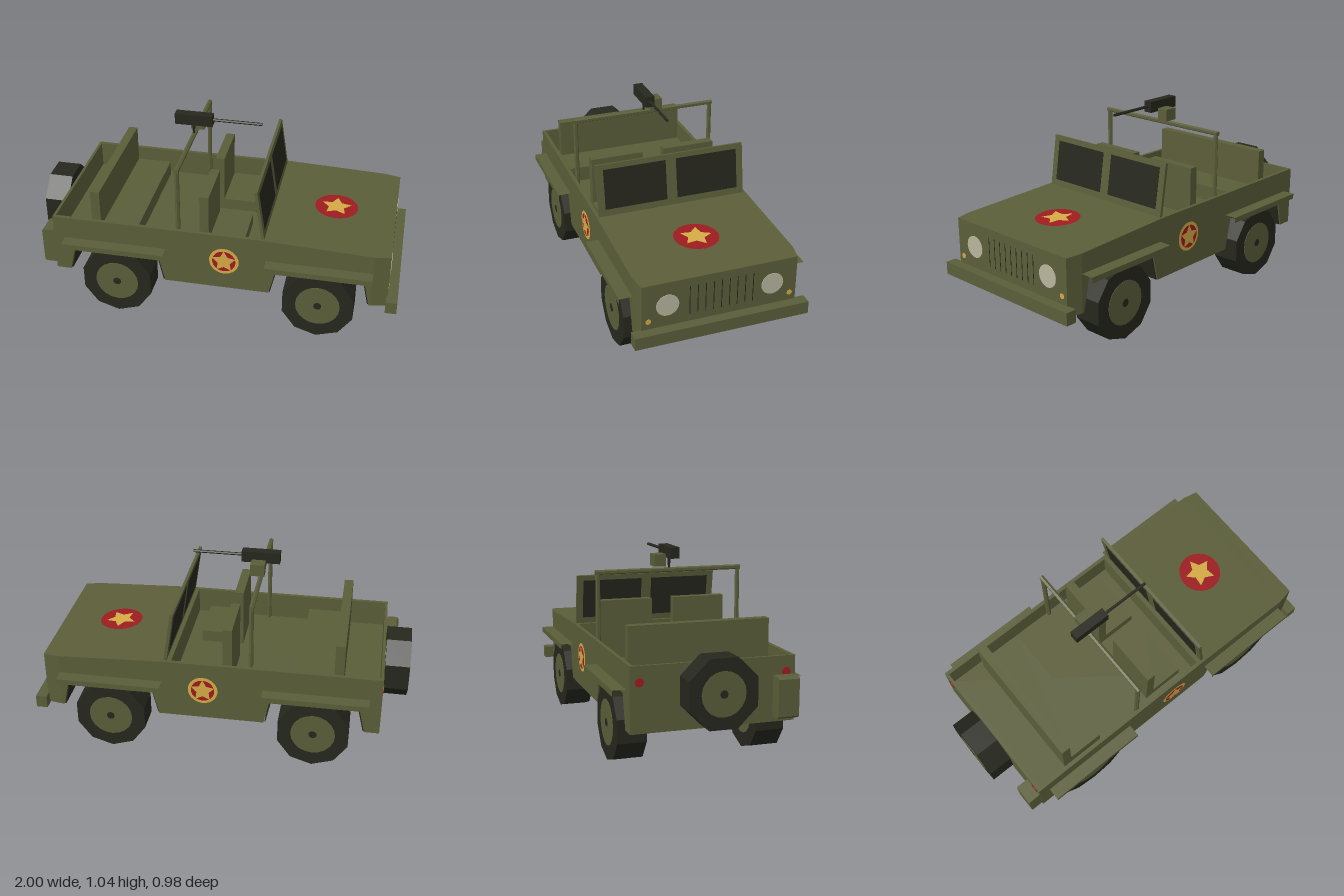
import * as THREE from 'three';

const mat = (name, color) => {
  const m = new THREE.MeshStandardMaterial({ color });
  m.name = name;
  return m;
};

export function createModel() {
  const olive = mat('olive paint', 0x5b5e39);
  const dark = mat('dark rubber and metal', 0x26271d);
  const red = mat('red', 0x9e1c1f);
  const gold = mat('gold', 0xd6ab46);
  const lamp = mat('lamp glass', 0xb9b59d);
  const model = new THREE.Group();
  model.name = 'utilityVehicle';

  const add = (name, geo, material, parent = model) => {
    const g = geo.index ? geo.toNonIndexed() : geo;
    g.computeVertexNormals();
    const mesh = new THREE.Mesh(g, material);
    mesh.name = name;
    parent.add(mesh);
    return mesh;
  };
  // Box given by its limits on each axis
  const box = (name, [x0, x1], [y0, y1], [z0, z1], material, parent) => {
    const mesh = add(name, new THREE.BoxGeometry(x1 - x0, y1 - y0, z1 - z0), material, parent);
    mesh.position.set((x0 + x1) / 2, (y0 + y1) / 2, (z0 + z1) / 2);
    return mesh;
  };
  // Side profile extruded across the width
  const across = (name, pts, width, material) => {
    const shape = new THREE.Shape(pts.map(p => new THREE.Vector2(...p)));
    const geo = new THREE.ExtrudeGeometry(shape, { depth: width, bevelEnabled: false });
    return add(name, geo.translate(0, 0, -width / 2), material);
  };
  // Thin round plate facing +x or -x
  const plate = (name, r, x, y, z, material) => {
    const mesh = add(name, new THREE.CylinderGeometry(r, r, 0.006, 20), material);
    mesh.rotation.z = Math.PI / 2;
    mesh.position.set(x, y, z);
    return mesh;
  };

  // Lower body with wheel arches, floor and bonnet
  across('body', [
    [-0.86, 0.23], [-0.78, 0.23], [-0.74, 0.405], [-0.286, 0.405], [-0.246, 0.23],
    [0.322, 0.23], [0.362, 0.405], [0.814, 0.405], [0.852, 0.23], [0.862, 0.23],
    [0.862, 0.538], [0.29, 0.56], [0.25, 0.56], [0.25, 0.415], [-0.86, 0.415],
  ], 0.844, olive);

  // Tapered nose
  const nose = new THREE.BoxGeometry(0.085, 0.308, 0.844);
  const np = nose.attributes.position;
  for (let i = 0; i < np.count; i++) {
    if (np.getX(i) > 0) {
      np.setZ(i, np.getZ(i) * 0.962);
      if (np.getY(i) > 0) np.setY(i, np.getY(i) - 0.003);
    }
  }
  add('nose', nose, olive).position.set(0.9045, 0.384, 0);

  // Open tub walls
  for (const s of [1, -1]) {
    box('tubSide', [-0.86, 0.25], [0.415, 0.56], [s * 0.412 - 0.01, s * 0.412 + 0.01], olive);
  }
  box('tubBack', [-0.86, -0.845], [0.415, 0.56], [-0.402, 0.402], olive);

  // Wheels have a rim and hub cap on both faces
  const wheel = (name, r, width, sides, turn) => {
    const g = new THREE.Group();
    g.name = name;
    add('tyre', new THREE.CylinderGeometry(r, r, width, sides, 1, false, turn), dark, g);
    for (const s of [1, -1]) {
      add('rim', new THREE.CylinderGeometry(r * 0.6, r * 0.6, 0.004, 20), olive, g).position.y = s * width / 2;
      add('hubCap', new THREE.CylinderGeometry(r * 0.11, r * 0.11, 0.004, 10), dark, g).position.y = s * (width / 2 + 0.002);
    }
    model.add(g);
    return g;
  };
  // Wheel wells, fenders and wheels
  for (const x of [-0.513, 0.588]) {
    across('wheelWell', [
      [x - 0.265, 0.231], [x - 0.225, 0.404], [x + 0.225, 0.404], [x + 0.262, 0.231],
      [x + 0.257, 0.231], [x + 0.221, 0.399], [x - 0.221, 0.399], [x - 0.26, 0.231],
    ], 0.83, dark);
    for (const s of [1, -1]) {
      const w = wheel('wheel', 0.198, 0.152, 10, 0);
      w.rotation.x = s * Math.PI / 2;
      w.position.set(x, 0.198, s * 0.366);
      // Fender lip is open at both ends
      const lip = new THREE.BoxGeometry(0.56, 0.03, 0.07);
      lip.setIndex(Array.from(lip.index.array).slice(12));
      add('fender', lip, olive).position.set(x - 0.005, 0.42, s * 0.455);
    }
  }

  // Spare wheel and fuel can on the tail
  const spare = wheel('spareWheel', 0.187, 0.132, 8, Math.PI / 8);
  spare.rotation.z = Math.PI / 2;
  spare.position.set(-0.93, 0.428, -0.003);
  const can = new THREE.Shape();
  [[-0.035, -0.093], [-0.025, -0.103], [0.035, -0.103], [0.035, 0.103], [-0.025, 0.103], [-0.035, 0.093]]
    .forEach(([x, y], i) => (i ? can.lineTo(x, y) : can.moveTo(x, y)));
  add('fuelCan', new THREE.ExtrudeGeometry(can, { depth: 0.11, bevelEnabled: false }), olive)
    .position.set(-0.895, 0.363, 0.307);

  // Bumper, lamps and grille
  box('frontBumper', [0.94, 1], [0.222, 0.29], [-0.458, 0.458], olive);
  for (const s of [1, -1]) {
    plate('headlight', 0.059, 0.947, 0.408, s * 0.275, lamp);
    plate('indicator', 0.014, 0.946, 0.333, s * 0.373, gold);
    plate('tailLight', 0.022, -0.861, 0.48, s * 0.375, red);
  }
  for (let i = -4; i <= 4; i++) {
    const z = i * 0.0415 - 0.006;
    box('grilleSlot', [0.946, 0.948], [0.33, 0.49], [z - 0.002, z + 0.002], dark);
  }

  // Windscreen leaning back
  const screen = new THREE.Group();
  screen.name = 'windscreen';
  screen.position.set(0.283, 0.555, 0);
  screen.rotation.z = 0.15;
  model.add(screen);
  box('windscreenFrame', [-0.008, 0.008], [0, 0.286], [-0.408, 0.408], olive, screen);
  for (const s of [1, -1]) {
    const z = s * 0.2;
    box('windowPane', [-0.01, 0.01], [0.04, 0.258], [z - 0.171, z + 0.171], dark, screen);
  }

  // Seats
  box('rearSeatBack', [-0.655, -0.605], [0.41, 0.71], [-0.37, 0.37], olive);
  box('rearSeatCushion', [-0.605, -0.41], [0.41, 0.5], [-0.37, 0.37], olive);
  for (const s of [1, -1]) {
    const z = [s * 0.207 - 0.146, s * 0.207 + 0.146];
    box('frontSeatBack', [-0.065, -0.016], [0.41, 0.74], z, olive);
    box('frontSeatCushion', [-0.016, 0.17], [0.41, 0.48], z, olive);
  }

  // Roll bar
  const rod = (name, r, length, material) => add(name, new THREE.CylinderGeometry(r, r, length, 6), material);
  for (const s of [1, -1]) rod('rollBarPost', 0.013, 0.5, olive).position.set(-0.172, 0.66, s * 0.393);
  const bar = rod('rollBarTop', 0.013, 0.814, olive);
  bar.rotation.x = Math.PI / 2;
  bar.position.set(-0.172, 0.909, 0);

  // Mounted gun on a tapered pin
  add('gunMount', new THREE.CylinderGeometry(0.01, 0.005, 0.07, 6), dark).position.set(-0.172, 0.945, 0);
  box('gunBody', [-0.27, -0.065], [0.978, 1.038], [-0.025, 0.025], dark);
  const barrel = rod('gunBarrel', 0.008, 0.27, dark);
  barrel.rotation.z = Math.PI / 2;
  barrel.position.set(0.065, 1.01, 0);
  box('ammoBox', [-0.195, -0.12], [0.93, 0.995], [-0.089, -0.025], olive);

  // Painted star badges
  const badge = (name, discs, starR) => {
    const g = new THREE.Group();
    g.name = name;
    discs.forEach(([r, m], i) => {
      add('badgeDisc', new THREE.CircleGeometry(r, 28), m, g).position.z = 0.003 + i * 0.002;
    });
    const star = new THREE.Shape();
    for (let i = 0; i < 10; i++) {
      const r = i % 2 ? starR * 0.52 : starR, a = Math.PI / 2 + i * Math.PI / 5;
      star[i ? 'lineTo' : 'moveTo'](r * Math.cos(a), r * Math.sin(a));
    }
    add('badgeStar', new THREE.ShapeGeometry(star), gold, g).position.z = 0.003 + discs.length * 0.002;
    model.add(g);
    return g;
  };
  const hood = badge('bonnetBadge', [[0.117, red]], 0.084);
  hood.rotation.set(-Math.PI / 2, 0.0386, 0);
  hood.position.set(0.622, 0.5473, 0);
  for (const s of [1, -1]) {
    const side = badge('sideBadge', [[0.08, gold], [0.063, red]], 0.066);
    side.rotation.y = s > 0 ? 0 : Math.PI;
    side.position.set(0.08, 0.403, s * 0.422);
  }
  return model;
}
